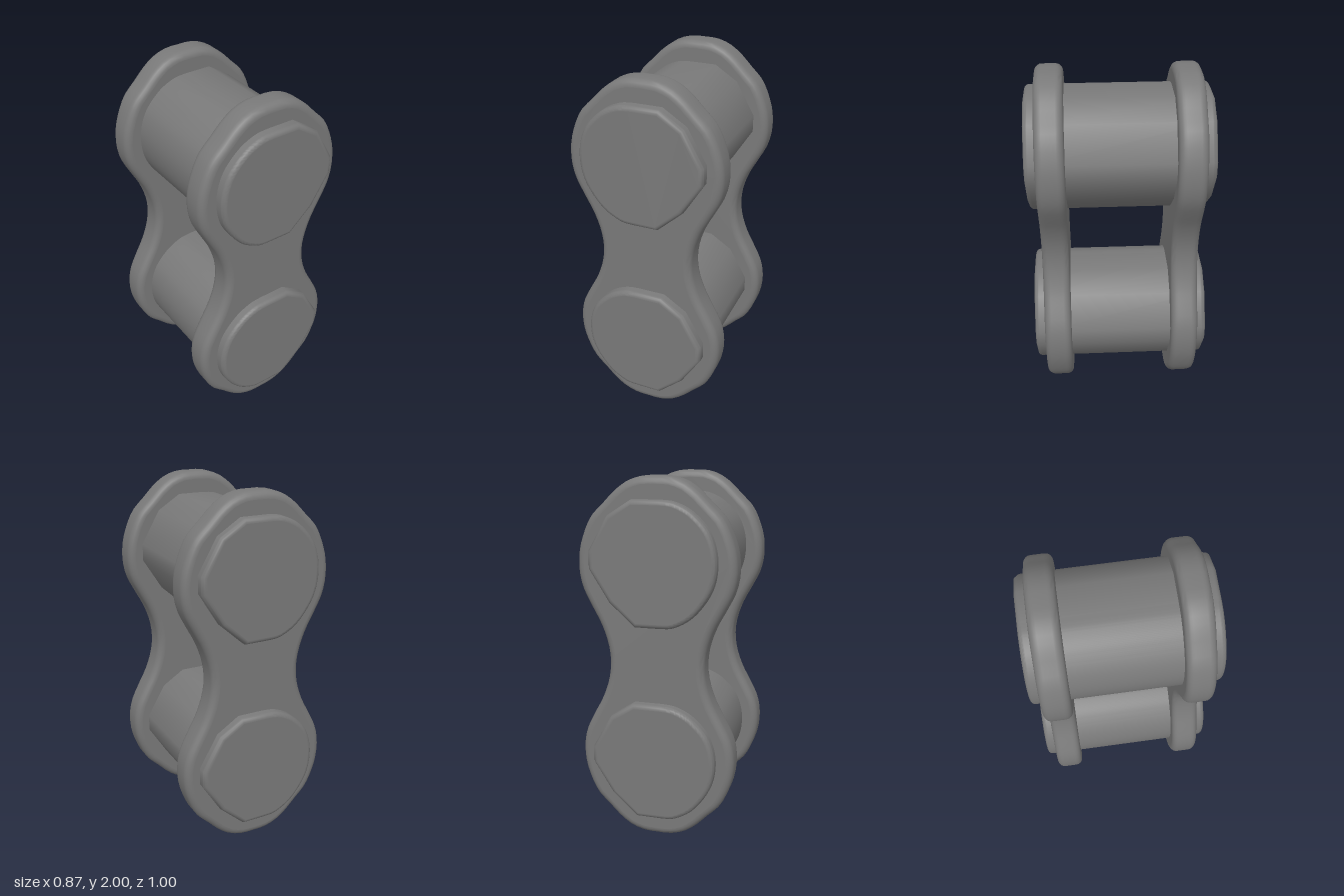
import * as THREE from 'three';
import { toCreasedNormals } from 'three/addons/utils/BufferGeometryUtils.js';

const material = new THREE.MeshStandardMaterial({ color: 0x797979 });
const vectors = (points) => points.map(([x, y]) => new THREE.Vector2(x, y));

// Extrusion centred on z = 0 with rounded rims that stay inside the outline
function roundedSlab(shape, thickness, bevel) {
  const extruded = new THREE.ExtrudeGeometry(shape, {
    depth: thickness - 2 * bevel,
    bevelThickness: bevel,
    bevelSize: bevel,
    bevelOffset: -bevel,
    bevelSegments: 5,
    curveSegments: 12,
  });
  extruded.translate(0, 0, bevel - thickness / 2);
  const geometry = toCreasedNormals(extruded, 0.9);

  // Keep the two end faces perfectly flat in shading
  const { position, normal } = geometry.attributes;
  for (let i = 0; i < position.count; i += 3) {
    const corners = [i, i + 1, i + 2];
    const side = Math.sign(position.getZ(i));
    if (corners.every((c) => position.getZ(c) * side > thickness / 2 - 1e-4)) {
      corners.forEach((c) => normal.setXYZ(c, 0, 0, side));
    }
  }
  return geometry;
}

// Waisted link plate: one quarter outline, mirrored both ways about its centre
function plateShape() {
  const quarter = [
    [0.265, 0], [0.277, 0.1], [0.315, 0.21], [0.36, 0.295], [0.412, 0.4],
    [0.431, 0.48], [0.433, 0.56], [0.418, 0.65], [0.36, 0.785], [0.29, 0.858],
    [0.215, 0.932], [0.15, 0.975], [0.075, 0.998], [0, 1],
  ];
  const half = [...quarter, ...quarter.slice(0, -1).reverse().map(([x, y]) => [-x, y])];
  const loop = [...half, ...half.slice(1, -1).reverse().map(([x, y]) => [x, -y])];
  const curve = new THREE.CatmullRomCurve3(
    loop.map(([x, y]) => new THREE.Vector3(x, y, 0)), true);
  return new THREE.Shape(curve.getSpacedPoints(120).slice(0, -1));
}

// Pin section: faceted on its left, softly rounded on its right
function pinShape() {
  const shape = new THREE.Shape();
  shape.moveTo(-0.04, -0.333);
  for (const [x, y] of [
    [0.1, -0.333], [0.24, -0.207], [0.351, -0.03],
    [0.351, 0.065], [0.245, 0.25], [0.115, 0.333], [-0.04, 0.333],
  ]) shape.lineTo(x, y);
  shape.splineThru(vectors([
    [-0.12, 0.322], [-0.215, 0.272], [-0.304, 0.17], [-0.34, 0.03],
    [-0.316, -0.12], [-0.225, -0.255], [-0.12, -0.322], [-0.04, -0.333],
  ]));
  return shape;
}

export function createModel() {
  const group = new THREE.Group();

  // Front and back link plates
  const plate = roundedSlab(plateShape(), 0.153, 0.04);
  for (const [name, z] of [['frontPlate', 0.364], ['backPlate', -0.367]]) {
    const mesh = new THREE.Mesh(plate, material);
    mesh.name = name;
    mesh.position.set(0, 1, z);
    group.add(mesh);
  }

  // Pins passing through both plates
  const pin = roundedSlab(pinShape(), 1, 0.025);
  for (const [name, y] of [['upperPin', 1.55], ['lowerPin', 0.457]]) {
    const mesh = new THREE.Mesh(pin, material);
    mesh.name = name;
    mesh.position.y = y;
    group.add(mesh);
  }
  return group;
}
